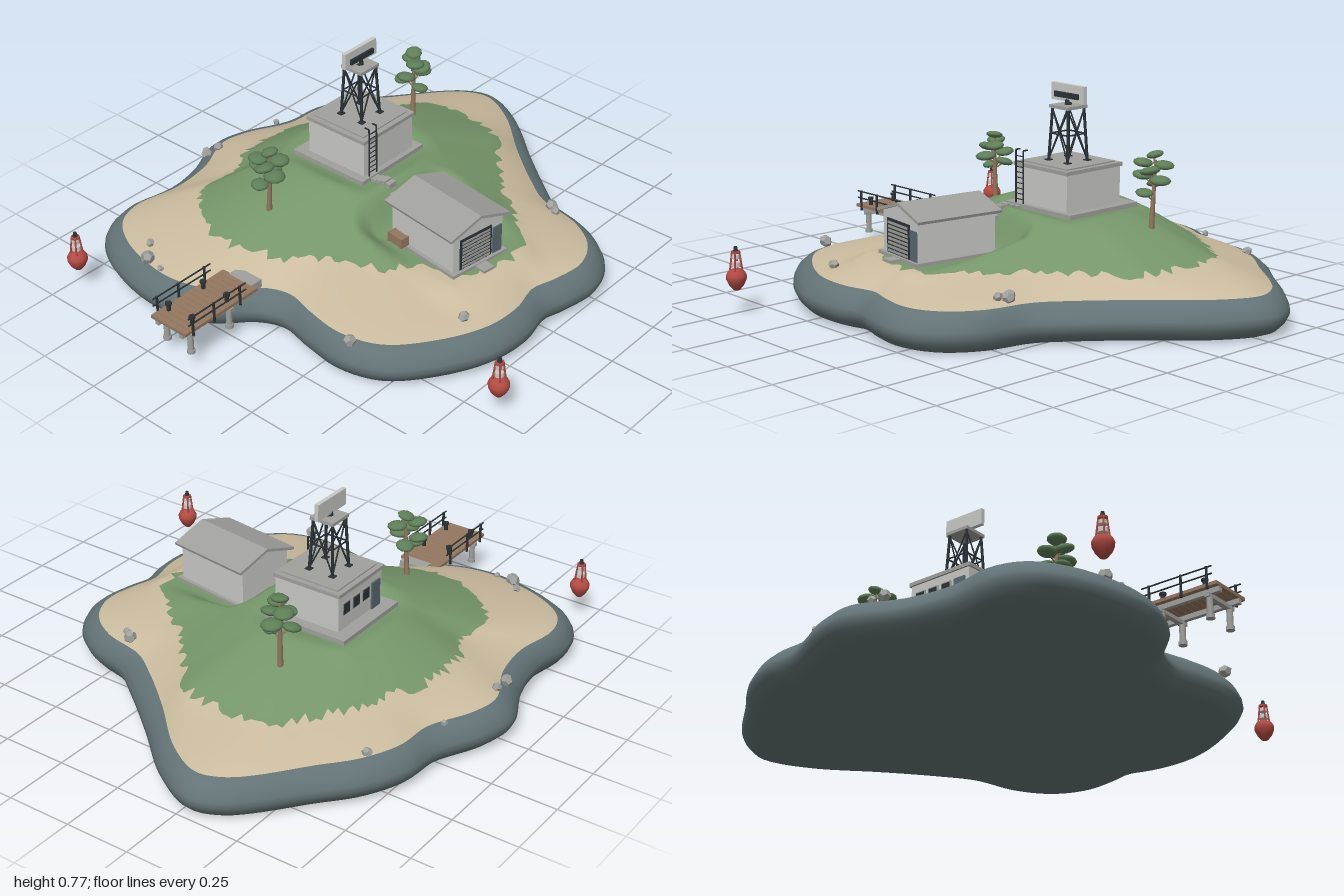
import * as THREE from 'three';

const paint = (name, color) => Object.assign(new THREE.MeshStandardMaterial({ color }), { name });
const rockM = paint('shore rock', 0x637376), sandM = paint('sand', 0xcbbc9f), grassM = paint('grass', 0x76966a);
const leafM = paint('foliage', 0x5f7f58), wallM = paint('pale wall', 0xc8c9c6), stoneM = paint('grey concrete', 0xa0a09d);
const steelM = paint('dark steel', 0x2b3236), woodM = paint('wood', 0x957860), redM = paint('buoy red', 0xb24a42);
const doorM = paint('blue grey door', 0x5a6872);

let seed = 7;
const rand = () => (seed = (seed * 16807) % 2147483647) / 2147483647;

function add(parent, name, geo, mat, x = 0, y = 0, z = 0) {
  const m = new THREE.Mesh(geo, mat);
  m.name = name;
  m.position.set(x, y, z);
  parent.add(m);
  return m;
}
const box = (p, name, mat, w, h, d, x, y, z) => add(p, name, new THREE.BoxGeometry(w, h, d), mat, x, y, z);
function rod(p, name, mat, a, b, r, r2 = r, sides = 6) {
  const A = new THREE.Vector3(...a), B = new THREE.Vector3(...b);
  const m = add(p, name, new THREE.CylinderGeometry(r2, r, A.distanceTo(B), sides), mat);
  m.position.copy(A).lerp(B, 0.5);
  m.quaternion.setFromUnitVectors(new THREE.Vector3(0, 1, 0), B.sub(A).normalize());
  return m;
}
function group(parent, name, x = 0, y = 0, z = 0, ry = 0) {
  const g = new THREE.Group();
  g.name = name;
  g.position.set(x, y, z);
  g.rotation.y = ry;
  parent.add(g);
  return g;
}

// Island contours in (x, z), turned into radius by angle round the hilltop
const CX = -0.2, CZ = -0.05, TAU = Math.PI * 2;
const shore = [[-.29, -1], [-.13, -.93], [.08, -.755], [.27, -.605], [.4, -.515], [.585, -.46], [.705, -.37], [.76, -.245],
  [.745, -.1], [.72, 0], [.745, .135], [.73, .295], [.64, .48], [.505, .63], [.345, .68], [.19, .665], [.055, .64],
  [-.05, .675], [-.18, .79], [-.315, .84], [-.445, .845], [-.66, .79], [-.79, .7], [-.835, .585], [-.815, .4],
  [-.845, .215], [-.92, .03], [-.9, -.1], [-.815, -.29], [-.795, -.45], [-.72, -.605], [-.605, -.74], [-.475, -.895], [-.395, -.965]];
const lawn = [[-.24, -.675], [-.02, -.635], [.08, -.53], [.29, -.31], [.425, -.21], [.53, -.08], [.52, .05], [.46, .17],
  [.33, .21], [.24, .32], [.08, .37], [-.02, .46], [-.155, .53], [-.29, .56], [-.475, .505], [-.605, .345], [-.595, .215],
  [-.66, .08], [-.66, -.075], [-.62, -.235], [-.55, -.395], [-.445, -.55], [-.35, -.66]];
function radial(points) {
  const curve = new THREE.CatmullRomCurve3(points.map(([x, z]) => new THREE.Vector3(x - CX, 0, z - CZ)), true);
  const s = curve.getPoints(720).slice(0, -1)
    .map(p => [(Math.atan2(p.z, p.x) + TAU) % TAU, Math.hypot(p.x, p.z)]).sort((a, b) => a[0] - b[0]);
  return ang => {
    const a = (ang + TAU) % TAU;
    let k = s.findIndex(e => e[0] > a);
    if (k < 0) k = 0;
    const [a1, r1] = s[k], [a0, r0] = s[(k + s.length - 1) % s.length];
    const span = (a1 - a0 + TAU) % TAU || 1;
    return r0 + (r1 - r0) * (((a - a0 + TAU) % TAU) / span);
  };
}
const shoreR = radial(shore), lawnR = radial(lawn), EDGE = 0.07;

// Ground height, with level ground cut for both buildings
const SHED = { x: 0.307, y: 0.205, z: 0.055, ry: -0.14 };
function heightAt(x, z) {
  const dx = x - CX, dz = z - CZ, a = Math.atan2(dz, dx), r = Math.hypot(dx, dz);
  const G = lawnR(a), E = shoreR(a) - EDGE;
  let h = r < G ? 0.342 - 0.137 * Math.pow(Math.max(0, (r - 0.22) / (G - 0.22)), 1.15)
    : 0.14 + 0.065 * Math.pow(Math.max(0, (E - r) / (E - G)), 0.9);
  const level = (px, pz, ry, hw, hd, fall, y) => {
    const u = x - px, v = z - pz, c = Math.cos(ry), s = Math.sin(ry);
    const d = Math.hypot(Math.max(0, Math.abs(u * c - v * s) - hw), Math.max(0, Math.abs(u * s + v * c) - hd));
    h += (y - h) * (1 - THREE.MathUtils.smoothstep(d, 0, fall));
  };
  level(-0.22, -0.07, 0, 0.17, 0.17, 0.09, 0.318);
  level(SHED.x, SHED.z, SHED.ry, 0.185, 0.155, 0.1, SHED.y);
  return h;
}

// One closed surface of rings: grass, sand, then the rounded rock rim and underside
function island(root) {
  const N = 180, GR = 28, SR = 8, pos = [], idx = [];
  const jag = Array.from({ length: N }, () => (rand() - 0.5) * 0.045);
  const rim = [[.045, .132], [.018, .108], [.003, .08], [0, .06], [.012, .035], [.035, .012], [.065, 0], [.1, 0], [9, 0]];
  const rings = GR + SR + rim.length;
  for (let j = 0; j <= rings; j++) for (let i = 0; i < N; i++) {
    const a = i / N * TAU, E = shoreR(a) - EDGE, t = j / GR;
    const G = lawnR(a) + jag[i] * Math.min(1, t ** 4);
    const edge = rim[j - GR - SR - 1];
    const r = edge ? Math.max(0, E + EDGE - edge[0]) : j <= GR ? t * G : G + (E - G) * (j - GR) / SR;
    const x = CX + r * Math.cos(a), z = CZ + r * Math.sin(a);
    pos.push(x, edge ? edge[1] : heightAt(x, z), z);
  }
  for (let j = 0; j < rings; j++) for (let i = 0; i < N; i++) {
    const a = j * N + i, b = j * N + (i + 1) % N, c = a + N, d = b + N;
    idx.push(a, b, c, b, d, c);
  }
  const g = new THREE.BufferGeometry();
  g.setAttribute('position', new THREE.Float32BufferAttribute(pos, 3));
  g.setIndex(idx);
  [[0, GR], [GR, SR], [GR + SR, rim.length]].forEach(([s, n], m) => g.addGroup(s * N * 6, n * N * 6, m));
  g.computeVertexNormals();
  add(root, 'island', g, [grassM, sandM, rockM]);
}

function tree(root, x, z, h, ry) {
  const t = group(root, 'tree', x, heightAt(x, z) - 0.01, z, ry);
  rod(t, 'trunk', woodM, [0, 0, 0], [0.012, h * 0.9, 0], 0.011, 0.005, 7);
  [[.01, .97, 0, .032], [-.03, .87, .012, .036], [.04, .83, -.015, .037], [0, .78, .03, .038], [-.04, .69, -.02, .036],
    [.035, .66, .025, .04], [.005, .58, -.04, .034], [-.02, .5, .03, .032]].forEach(([dx, f, dz, r], i) => {
    const c = add(t, 'leafClump', new THREE.IcosahedronGeometry(r, 1), leafM, dx, h * f, dz);
    c.scale.y = 0.42;
    c.rotation.set(Math.sin(i * 2) * 0.25, i, Math.cos(i * 3) * 0.25);
    rod(t, 'branch', woodM, [0.006, h * (f - 0.12), 0], [dx, h * f, dz], 0.003);
  });
}

function station(root) {
  const s = group(root, 'radarStation', -0.205, 0.31, -0.067);
  box(s, 'plinth', stoneM, 0.34, 0.026, 0.34, -0.015, 0.012, -0.003);
  box(s, 'walls', wallM, 0.268, 0.155, 0.268, 0, 0.09, 0);
  box(s, 'roofSlab', stoneM, 0.282, 0.014, 0.28, 0, 0.168, 0);
  box(s, 'roofDeck', stoneM, 0.24, 0.006, 0.24, 0, 0.177, 0);
  for (const z of [-0.09, -0.03, 0.03]) {
    box(s, 'windowFrame', stoneM, 0.006, 0.05, 0.046, -0.135, 0.105, z);
    box(s, 'window', steelM, 0.008, 0.04, 0.036, -0.136, 0.105, z);
  }
  box(s, 'door', doorM, 0.008, 0.105, 0.05, -0.136, 0.077, 0.092);
  // ladder with hooked tops
  for (const z of [0.08, 0.12]) {
    rod(s, 'ladderRail', steelM, [0.147, 0.025, z], [0.147, 0.222, z], 0.003);
    rod(s, 'ladderHook', steelM, [0.147, 0.222, z], [0.127, 0.222, z], 0.003);
  }
  for (let i = 0; i < 9; i++) rod(s, 'ladderRung', steelM, [0.147, 0.04 + i * 0.02, 0.08], [0.147, 0.04 + i * 0.02, 0.12], 0.002);
  // braced mast
  const at = (k, y) => {
    const w = 0.05 - 0.01 * (y - 0.175) / 0.2, a = k * Math.PI / 2 + Math.PI / 4;
    return [Math.SQRT2 * w * Math.cos(a), y, Math.SQRT2 * w * Math.sin(a)];
  };
  for (let k = 0; k < 4; k++) {
    rod(s, 'mastLeg', steelM, at(k, 0.175), at(k, 0.378), 0.0055);
    box(s, 'mastFoot', steelM, 0.022, 0.008, 0.022, at(k, 0.175)[0], 0.18, at(k, 0.175)[2]);
    for (const [y0, y1] of [[0.185, 0.37], [0.37, 0.185], [0.28, 0.28]]) rod(s, 'mastBrace', steelM, at(k, y0), at(k + 1, y1), 0.003);
  }
  box(s, 'mastPlatform', stoneM, 0.098, 0.012, 0.098, 0, 0.38, 0);
  rod(s, 'radarPivot', steelM, [0, 0.385, 0], [0, 0.405, 0], 0.014, 0.011, 12);
  box(s, 'radarBack', steelM, 0.012, 0.02, 0.12, 0.008, 0.42, 0);
  box(s, 'radarPanel', wallM, 0.016, 0.063, 0.168, -0.003, 0.428, 0);
}

function shed(root) {
  const s = group(root, 'shed', SHED.x, SHED.y, SHED.z, SHED.ry);
  const L = 0.318, W = 0.116, EAVE = 0.158, RIDGE = 0.195;
  box(s, 'floorSlab', stoneM, 0.35, 0.016, 0.26, 0, 0.004, 0);
  box(s, 'apron', stoneM, 0.05, 0.01, 0.05, 0.195, 0.004, -0.0);
  const gable = new THREE.Shape([[-W, 0], [W, 0], [W, EAVE], [0, RIDGE], [-W, EAVE]].map(p => new THREE.Vector2(...p)));
  add(s, 'walls', new THREE.ExtrudeGeometry(gable, { depth: L, bevelEnabled: false }), wallM, -L / 2, 0, 0).rotation.y = Math.PI / 2;
  const slope = Math.atan2(RIDGE - EAVE, W);
  for (const d of [-1, 1]) box(s, 'roofPanel', stoneM, 0.345, 0.011, 0.149, 0, 0.179, d * 0.069).rotation.x = d * slope;
  // shutter and side door on the end wall
  const X = L / 2;
  box(s, 'shutterFrame', steelM, 0.006, 0.128, 0.15, X + 0.001, 0.072, 0.012);
  for (let i = 0; i < 8; i++) box(s, 'shutterSlat', stoneM, 0.008, 0.009, 0.132, X + 0.002, 0.02 + i * 0.0145, 0.012);
  box(s, 'sideDoor', doorM, 0.008, 0.11, 0.042, X + 0.001, 0.065, -0.09);
  // crate by the wall
  box(s, 'crate', woodM, 0.072, 0.036, 0.034, -0.105, 0.03, 0.136);
  for (const x of [-0.137, -0.073]) box(s, 'crateBatten', woodM, 0.008, 0.038, 0.038, x, 0.03, 0.136);
}

function dock(root) {
  const d = group(root, 'dock', -0.135, 0, 0);
  for (let i = 0; i < 14; i++) box(d, 'plank', woodM, 0.168, 0.012, 0.0235, 0, 0.166, 0.663 + i * 0.025);
  for (const x of [-0.058, 0.058]) {
    box(d, 'beam', stoneM, 0.016, 0.018, 0.345, x, 0.151, 0.825);
    for (const z of [0.77, 0.955]) {
      rod(d, 'pile', stoneM, [x, 0.06, z], [x, 0.15, z], 0.011, 0.011, 10);
      rod(d, 'pileCollar', stoneM, [x, 0.058, z], [x, 0.072, z], 0.015, 0.015, 10);
    }
  }
  for (const z of [0.77, 0.955]) box(d, 'crossBeam', stoneM, 0.15, 0.014, 0.018, 0, 0.138, z);
  box(d, 'landingStep', stoneM, 0.11, 0.03, 0.05, 0.008, 0.16, 0.635);
  for (const x of [-0.086, 0.086]) {
    for (const z of [0.74, 0.865, 0.965]) rod(d, 'railPost', steelM, [x, 0.15, z], [x, 0.23, z], 0.005);
    for (const y of [0.2, 0.227]) rod(d, 'handrail', steelM, [x, y, 0.71], [x, y, 0.985], 0.003);
    for (const z of [0.775, 0.94]) {
      rod(d, 'bollard', steelM, [x * 0.67, 0.17, z], [x * 0.67, 0.2, z], 0.008, 0.008, 10);
      rod(d, 'bollardCap', steelM, [x * 0.67, 0.196, z], [x * 0.67, 0.204, z], 0.012, 0.012, 10);
    }
  }
}

function buoy(root, x, z) {
  const b = group(root, 'buoy', x, 0, z);
  const profile = [[0, .086], [.012, .09], [.027, .108], [.036, .128], [.037, .142], [.03, .156], [.017, .164], [0, .166]];
  add(b, 'float', new THREE.LatheGeometry(profile.map(p => new THREE.Vector2(...p)), 24), redM);
  for (let k = 0; k < 4; k++) {
    const c = Math.cos(k * Math.PI / 2 + 0.78), s = Math.sin(k * Math.PI / 2 + 0.78);
    rod(b, 'frameLeg', redM, [0.022 * c, 0.158, 0.022 * s], [0.013 * c, 0.228, 0.013 * s], 0.0035);
  }
  rod(b, 'lowerBand', wallM, [0, 0.174, 0], [0, 0.19, 0], 0.017, 0.016, 12);
  rod(b, 'upperBand', wallM, [0, 0.203, 0], [0, 0.217, 0], 0.0145, 0.0135, 12);
  rod(b, 'frameTop', redM, [0, 0.222, 0], [0, 0.23, 0], 0.016, 0.016, 12);
  rod(b, 'lantern', steelM, [0, 0.23, 0], [0, 0.247, 0], 0.009, 0.006, 10);
}

export function createModel() {
  const root = new THREE.Group();
  root.name = 'islandStation';
  island(root);
  station(root);
  shed(root);
  dock(root);
  tree(root, -0.25, 0.38, 0.262, 0.4);
  tree(root, -0.262, -0.435, 0.285, 2.1);
  buoy(root, -0.7, 0.908);
  buoy(root, 0.88, 0.485);
  // stepped path between the buildings
  for (let i = 0; i < 8; i++) {
    const x = -0.038 + i * 0.0235;
    box(root, 'pathStep', stoneM, 0.021, 0.02, 0.038, x, heightAt(x, 0.04) + 0.001, 0.036 + i * 0.0015);
  }
  // shoreline boulders
  [[-.68, -.525, .02], [-.79, -.22, .014], [-.825, .07, .019], [-.83, .13, .025], [-.54, .7, .018], [-.49, .76, .029],
    [-.415, .77, .013], [.37, .645, .026], [.588, .305, .022], [.415, -.43, .027], [.445, -.41, .019]].forEach(([x, z, r], i) => {
    const m = add(root, 'boulder', new THREE.DodecahedronGeometry(r), stoneM, x, heightAt(x, z) + r * 0.45, z);
    m.rotation.set(i, i * 1.7, i * 0.6);
    m.scale.set(1, 0.85, 0.9);
  });
  return root;
}
